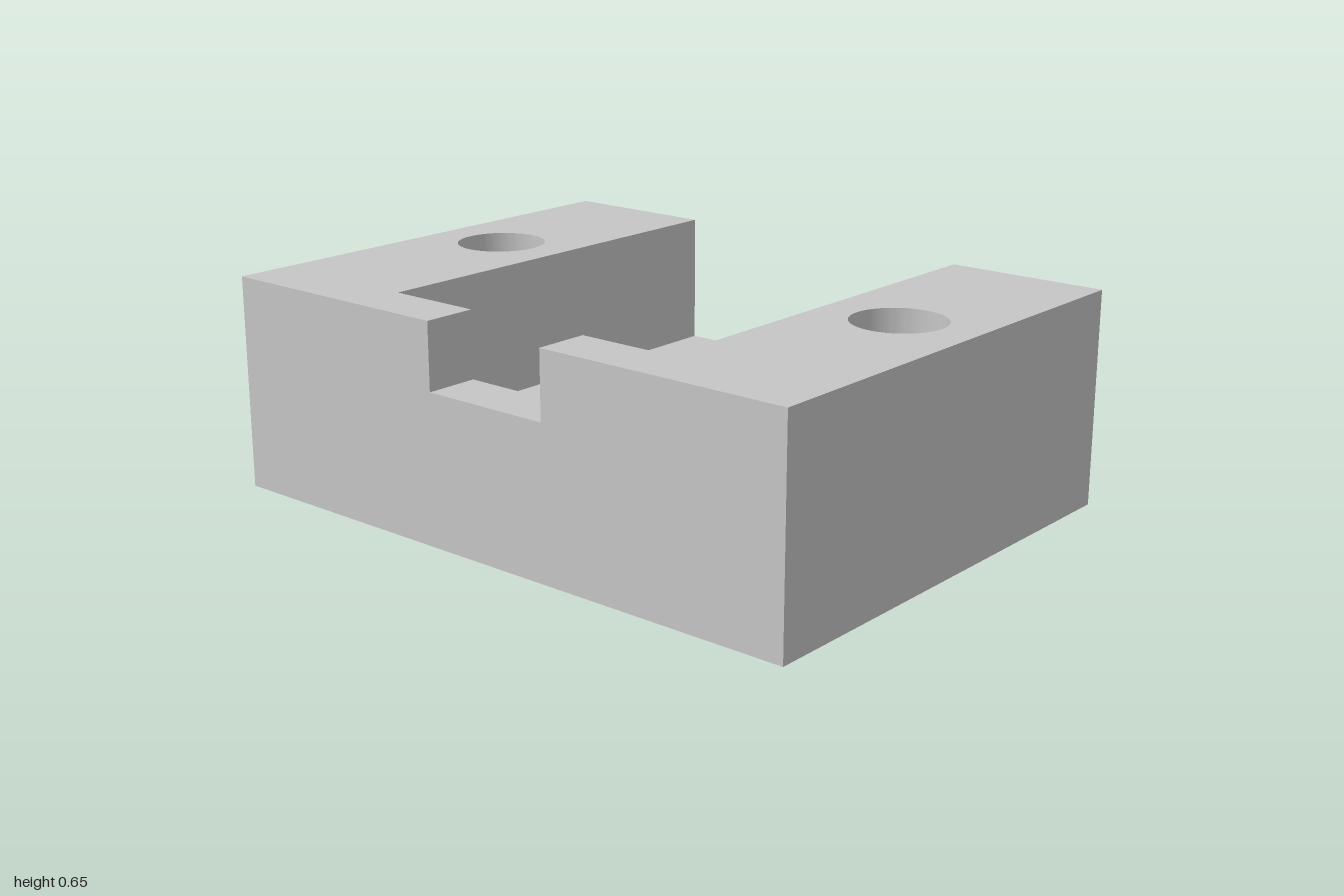
import * as THREE from 'three';
import { toCreasedNormals } from 'three/addons/utils/BufferGeometryUtils.js';

const X = 0.743, Z = 1;                    // half extents of the block
const POCKET_X = -0.58, POCKET_Z = 0.505;  // pocket, open towards +x
const NOTCH_Z = 0.208;                     // notch through the -x wall
const FLOOR = 0.25, NOTCH_Y = 0.45, TOP = 0.65;
const HOLE = { x: 0.081, z: 0.752, r: 0.137 };

// Plan outline with a bolt hole on each listed side
function plan(points, holeSides) {
  const shape = new THREE.Shape(points.map(([x, z]) => new THREE.Vector2(x, -z)));
  for (const side of holeSides) {
    shape.holes.push(new THREE.Path().absarc(HOLE.x, -side * HOLE.z, HOLE.r, 0, Math.PI * 2, false));
  }
  return shape;
}

// Upright extrusion of a plan between two heights
function layer(name, shape, y0, y1, material) {
  const geometry = new THREE.ExtrudeGeometry(shape, { depth: y1 - y0, bevelEnabled: false, curveSegments: 48 });
  geometry.rotateX(-Math.PI / 2).translate(0, y0, 0);
  const mesh = new THREE.Mesh(toCreasedNormals(geometry, 0.5), material);
  mesh.name = name;
  return mesh;
}

export function createModel() {
  const group = new THREE.Group();
  group.name = 'mountingBlock';
  const grey = new THREE.MeshStandardMaterial({ color: 0xc6c6c6 });
  grey.name = 'lightGrey';

  // Solid base below the pocket floor
  const base = plan([[-X, -Z], [X, -Z], [X, Z], [-X, Z]], [-1, 1]);
  group.add(layer('base', base, 0, FLOOR, grey));

  // U-shaped wall around the pocket, up to the notch floor
  const wall = plan([
    [-X, -Z], [X, -Z], [X, -POCKET_Z], [POCKET_X, -POCKET_Z],
    [POCKET_X, POCKET_Z], [X, POCKET_Z], [X, Z], [-X, Z],
  ], [-1, 1]);
  group.add(layer('pocketWall', wall, FLOOR, NOTCH_Y, grey));

  // L-shaped rails either side of the notch
  for (const side of [-1, 1]) {
    const rail = plan([
      [-X, Z], [X, Z], [X, POCKET_Z], [POCKET_X, POCKET_Z], [POCKET_X, NOTCH_Z], [-X, NOTCH_Z],
    ].map(([x, z]) => [x, z * side]), [side]);
    group.add(layer(side > 0 ? 'frontRail' : 'backRail', rail, NOTCH_Y, TOP, grey));
  }
  return group;
}
